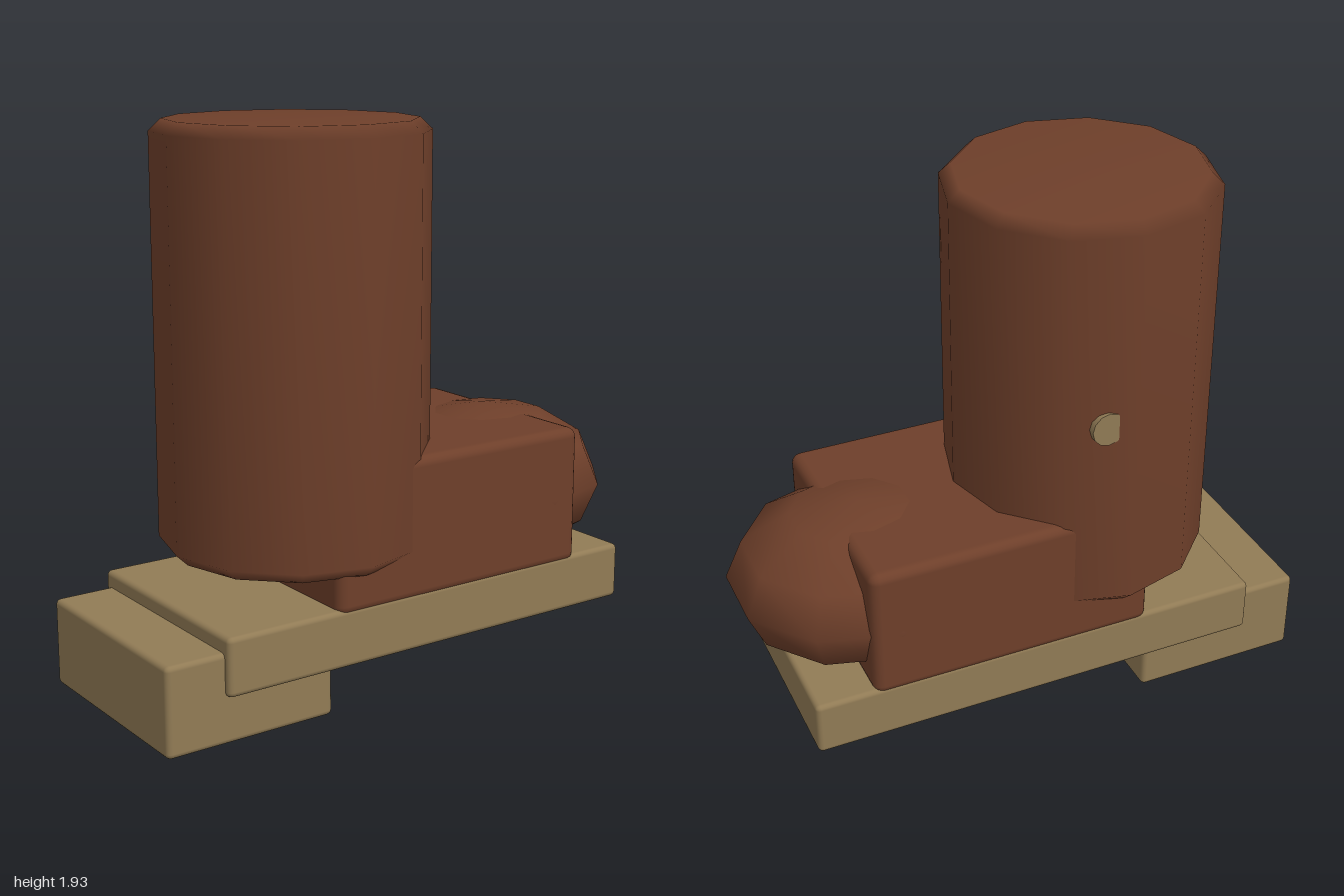
import * as THREE from 'three';
import { RoundedBoxGeometry } from 'three/addons/geometries/RoundedBoxGeometry.js';

export function createModel() {
  const boot = new THREE.Group();
  boot.name = 'boot';

  const leather = new THREE.MeshStandardMaterial({ color: 0x6e3f2a });
  leather.name = 'brown leather';
  const tan = new THREE.MeshStandardMaterial({ color: 0x917b55 });
  tan.name = 'tan sole';

  function add(name, geometry, material, x = 0, y = 0, z = 0) {
    const mesh = new THREE.Mesh(geometry, material);
    mesh.name = name;
    mesh.position.set(x, y, z);
    boot.add(mesh);
    return mesh;
  }

  // Softened block given by its x and y limits and its full depth
  function block(name, material, x0, x1, y0, y1, depth, radius) {
    const geometry = new RoundedBoxGeometry(x1 - x0, y1 - y0, depth, 2, radius);
    return add(name, geometry, material, (x0 + x1) / 2, (y0 + y1) / 2);
  }

  // Sole and heel
  block('heel', tan, -1, -0.38, 0.003, 0.31, 0.775, 0.018);
  block('sole', tan, -0.79, 0.87, 0.165, 0.365, 0.825, 0.018);

  // Foot block
  block('foot', leather, -0.37, 0.66, 0.34, 0.835, 0.83, 0.035);

  // Rounded toe cap
  const toe = new THREE.SphereGeometry(1, 10, 6);
  toe.rotateY(Math.PI / 10);
  toe.scale(0.468, 0.285, 0.42);
  toe.computeBoundingSphere();
  add('toeCap', toe, leather, 0.555, 0.58, 0);

  // Twelve-sided shaft with bevelled rims
  const profile = [
    [0, 0.475], [0.425, 0.475], [0.467, 0.515],
    [0.467, 1.89], [0.425, 1.93], [0, 1.93],
  ].map(([r, y]) => new THREE.Vector2(r, y));
  add('shaft', new THREE.LatheGeometry(profile, 12), leather, -0.27, 0, 0);

  // Small stud at the back of the shaft
  const stud = new THREE.CylinderGeometry(0.06, 0.06, 0.06, 12);
  stud.rotateX(Math.PI / 2);
  add('stud', stud, tan, -0.17, 1.21, -0.42);

  return boot;
}
